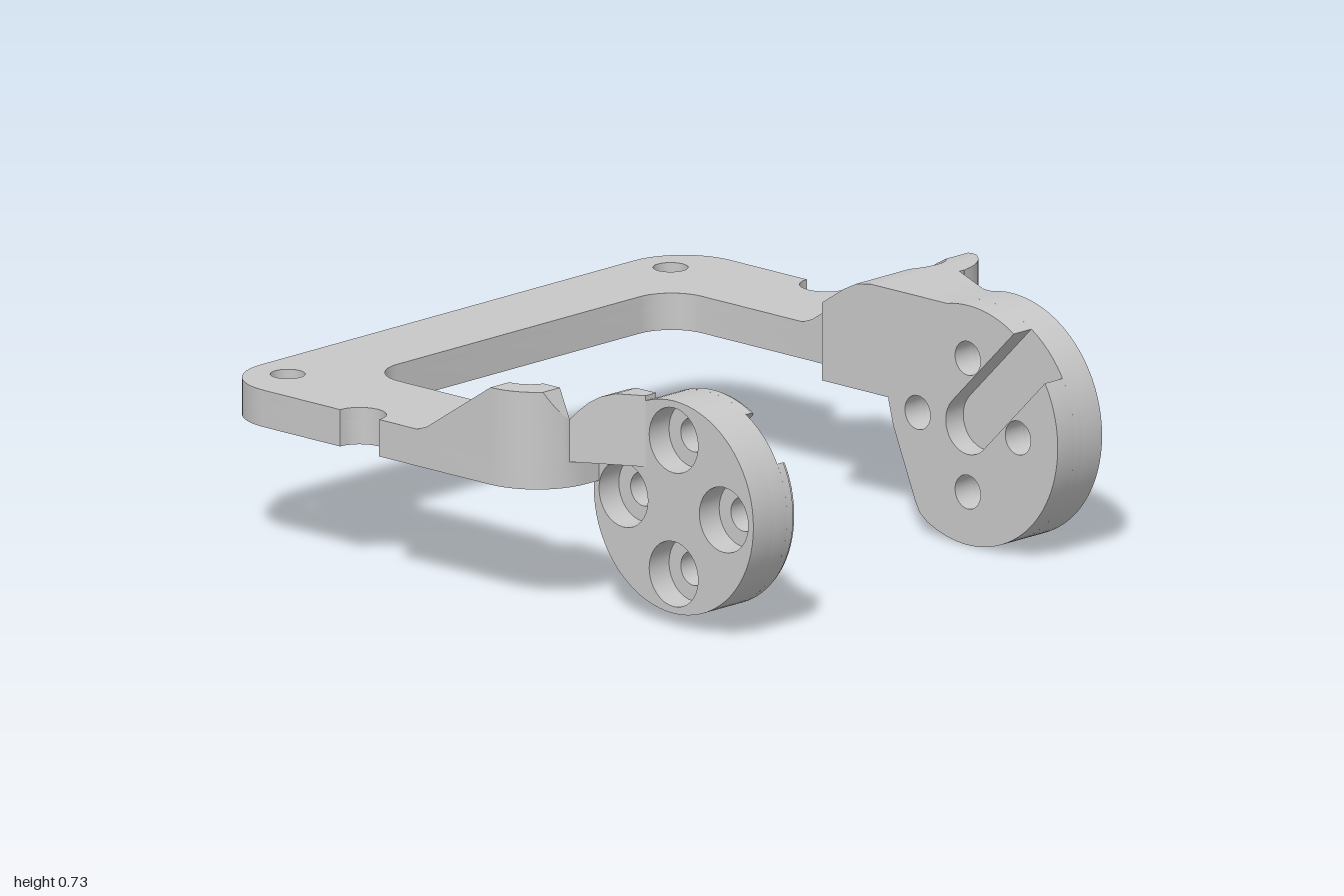
import * as THREE from 'three';
import { toCreasedNormals } from 'three/addons/utils/BufferGeometryUtils.js';

const grey = new THREE.MeshStandardMaterial({ color: 0xc8c8c8 });
grey.name = 'grey';

const DEG = Math.PI / 180;
const HUB_Z = 0.635, HUB_Y = 0.368;       // shared axis of both hubs
const BORE_X = 0.82, BORE_Z = 0.125;      // front mounting hole

function part(name, geometry) {
  const mesh = new THREE.Mesh(toCreasedNormals(geometry, 0.5), grey);
  mesh.name = name;
  return mesh;
}

// points on an arc, angles in degrees
function arc(cx, cy, r, a0, a1, n = 12) {
  const pts = [];
  for (let i = 0; i <= n; i++) {
    const a = (a0 + (a1 - a0) * i / n) * DEG;
    pts.push([cx + r * Math.cos(a), cy + r * Math.sin(a)]);
  }
  return pts;
}

// holes wind against the outline so their walls face inwards
function shapeOf(pts, holes, sx, sy) {
  const v = list => list.map(([a, b]) => new THREE.Vector2(a * sx, b * sy));
  const shape = new THREE.Shape(v(pts));
  holes.forEach(([x, y, r]) => shape.holes.push(new THREE.Path(v(arc(x, y, r, 0, -348.75, 31)))));
  return shape;
}

// (x, z) outline extruded upwards
function slab(pts, holes, y0, y1) {
  return new THREE.ExtrudeGeometry(shapeOf(pts, holes, 1, -1), { depth: y1 - y0, bevelEnabled: false })
    .rotateX(-Math.PI / 2).translate(0, y0, 0);
}

// (z, y) outline extruded along x
function wall(pts, holes, x0, x1) {
  return new THREE.ExtrudeGeometry(shapeOf(pts, holes, -1, 1), { depth: x1 - x0, bevelEnabled: false })
    .rotateY(Math.PI / 2).translate(x0, 0, 0);
}

// solid from rectangular sections [z, x0, x1, y0, y1] along z
function loft(sections) {
  const pos = [];
  const rings = sections.map(([z, x0, x1, y0, y1]) => [[x0, y0, z], [x1, y0, z], [x1, y1, z], [x0, y1, z]]);
  const quad = (a, b, c, d) => [a, b, c, a, c, d].forEach(p => pos.push(...p));
  for (let s = 0; s < rings.length - 1; s++) {
    for (let i = 0; i < 4; i++) {
      const j = (i + 1) % 4;
      quad(rings[s][i], rings[s][j], rings[s + 1][j], rings[s + 1][i]);
    }
  }
  const [a, b, c, d] = rings[0];
  quad(d, c, b, a);
  quad(...rings[rings.length - 1]);
  const g = new THREE.BufferGeometry();
  g.setAttribute('position', new THREE.Float32BufferAttribute(pos, 3));
  return g;
}

// linear interpolation through [input, output] pairs
function along(table, t) {
  if (t <= table[0][0]) return table[0][1];
  for (let i = 1; i < table.length; i++) {
    const [a, u] = table[i - 1], [b, v] = table[i];
    if (t <= b) return u + (v - u) * (t - a) / (b - a);
  }
  return table[table.length - 1][1];
}

const rampHeight = z => along([[-0.17, 0.505], [-0.13, 0.52], [0.13, 0.69], [0.18, 0.715], [0.24, 0.725]], z);
const finHeight = z => Math.min(rampHeight(z), along([[0.28, 0.69], [0.32, 0.6]], z));
const innerX = z => along([[-0.04, 0.65], [0, 0.64], [0.03, 0.6], [0.04, 0.515]], z);
const outerX = z => z < 0.13 ? 1 : z < 0.33
  ? 0.8 + Math.sqrt(Math.max(0, 0.04 - (z - 0.13) ** 2))
  : 0.8 - 0.5 * (z - 0.33);
const boreHalf = z => Math.sqrt(Math.max(0, 0.095 ** 2 - (z - BORE_Z) ** 2));

// stations along the arm, denser round the bore and the corner
const stations = [-0.17, -0.13, -0.04, 0, 0.03, 0.04, 0.13, 0.18, 0.24, 0.28];
for (let i = 0; i <= 16; i++) stations.push(BORE_Z - 0.095 * Math.cos(Math.PI * i / 16));
for (let i = 0; i <= 12; i++) stations.push(0.13 + 0.2 * Math.sin(i * 7.5 * DEG));
stations.sort((a, b) => a - b);

// U-shaped plate outline; the upper layer stops short at the right arm
function plateOutline(rightEnd) {
  return [
    ...arc(0.8, -0.8, 0.2, -90, 0),
    ...arc(1, -0.405, 0.08, -90, -270),
    ...arc(0.8, 0.13, 0.2, 0, 90),
    [0.705, 0.33], [0.515, 0.33], [0.515, 0.04],
    ...arc(0.52, -0.09, 0.13, 80, 0, 8),
    ...arc(0.52, -0.58, 0.13, 0, -90),
    ...arc(-0.52, -0.58, 0.13, -90, -180),
    ...rightEnd,
    ...arc(-1, -0.405, 0.08, 90, -90),
    ...arc(-0.8, -0.8, 0.2, 180, 270),
  ];
}

// hub outline, with a round-ended slot opening at 45 degrees if slotHalf is set
function hubOutline(r, necked, slotHalf) {
  const d = slotHalf ? Math.asin(slotHalf / r) / DEG : 0;
  const circle = (a, b, n) => arc(HUB_Z, HUB_Y, r, a, b, n);
  const rim = necked
    ? [...circle(45 + d, 103.4, 12), [0.312, 0.725], [0.312, 0.38], [0.33, 0.31], [0.42, 0.095], [0.438, 0.063],
      ...circle(243, 405 - d, 36)]
    : circle(45 + d, 405 - d, 72);
  if (!slotHalf) { rim.pop(); return rim; }
  return [...rim, ...arc(HUB_Z, HUB_Y, slotHalf, -45, -225, 16)];
}

const hubHoles = r => [0, 1, 2, 3].map(i => {
  const a = i * Math.PI / 2;
  return [HUB_Z + 0.205 * Math.cos(a), HUB_Y + 0.205 * Math.sin(a), r];
});

// layers: [x0, x1, radius, hole radius, slot half width]
function hub(name, necked, layers) {
  const group = new THREE.Group();
  group.name = name;
  layers.forEach(([x0, x1, r, hole, slot], i) =>
    group.add(part(`${name}Layer${i + 1}`, wall(hubOutline(r, necked, slot), hubHoles(hole), x0, x1))));
  return group;
}

export function createModel() {
  const model = new THREE.Group();
  model.name = 'bracket';

  // base plate in two layers, leaving a shallow recess on the right arm
  const backHoles = [[-0.82, -0.87, 0.052], [0.82, -0.87, 0.052]];
  const leftHole = [BORE_X, BORE_Z, 0.052];
  const fullEnd = [[-0.65, -0.1], [-0.64, -0.04], [-0.61, 0], [-0.61, 0.24], [-0.56, 0.24], [-0.56, 0.33],
    ...arc(-0.8, 0.13, 0.2, 90, 180)];
  model.add(part('plateLower', slab(plateOutline(fullEnd), [...backHoles, leftHole, [-0.825, BORE_Z, 0.052]], 0.392, 0.47)));
  model.add(part('plateUpper', slab(plateOutline([[-0.65, -0.09], [-1, -0.09]]), [...backHoles, leftHole], 0.47, 0.505)));

  // left arm: ramped block in two halves round the bore, tapering into the hub
  const innerStations = [...stations, 0.34, 0.52];
  model.add(part('leftArmInner', loft(innerStations.map(z =>
    [z, innerX(z), Math.min(BORE_X - boreHalf(z), outerX(z)), 0.47, rampHeight(z)]))));
  model.add(part('leftArmOuter', loft(stations.map(z =>
    [z, BORE_X + boreHalf(z), Math.max(BORE_X + boreHalf(z), outerX(z)), 0.47, rampHeight(z)]))));

  // right arm: outer fin, ramp remnant and rounded neck
  const finStations = [...stations.filter(z => z < 0.32), 0.32];
  model.add(part('rightFin', loft(finStations.map(z =>
    [z, -outerX(z), Math.min(-0.86, -0.825 - boreHalf(z)), 0.47, finHeight(z)]))));
  model.add(part('rightRamp', loft([
    [-0.17, -0.865, -0.7, 0.46, 0.505], [-0.13, -0.865, -0.7, 0.46, 0.52],
    [-0.09, -0.865, -0.7, 0.46, 0.546], [-0.05, -0.865, -0.7, 0.46, 0.47]])));
  model.add(part('rightNeck', loft([
    [0.24, -0.86, -0.745, 0.47, 0.5], [0.28, -0.86, -0.72, 0.47, 0.55], [0.32, -0.86, -0.7, 0.47, 0.6],
    [0.345, -0.846, -0.7, 0.47, 0.63], [0.37, -0.831, -0.7, 0.47, 0.655], [0.4, -0.814, -0.7, 0.47, 0.675],
    [0.44, -0.791, -0.7, 0.47, 0.688], [0.52, -0.745, -0.7, 0.47, 0.688]])));

  // hubs: slotted inner face, counterbored outer face
  model.add(hub('leftHub', true, [
    [0.515, 0.59, 0.3675, 0.052, 0.09],
    [0.59, 0.62, 0.3675, 0.052, 0],
    [0.62, 0.705, 0.3675, 0.1, 0],
  ]));
  model.add(hub('rightHub', false, [
    [-0.745, -0.66, 0.326, 0.1, 0],
    [-0.66, -0.6, 0.326, 0.052, 0],
    [-0.6, -0.575, 0.326, 0.052, 0.09],
    [-0.575, -0.566, 0.322, 0.052, 0.09],
    [-0.566, -0.558, 0.314, 0.052, 0.09],
  ]));

  return model;
}
